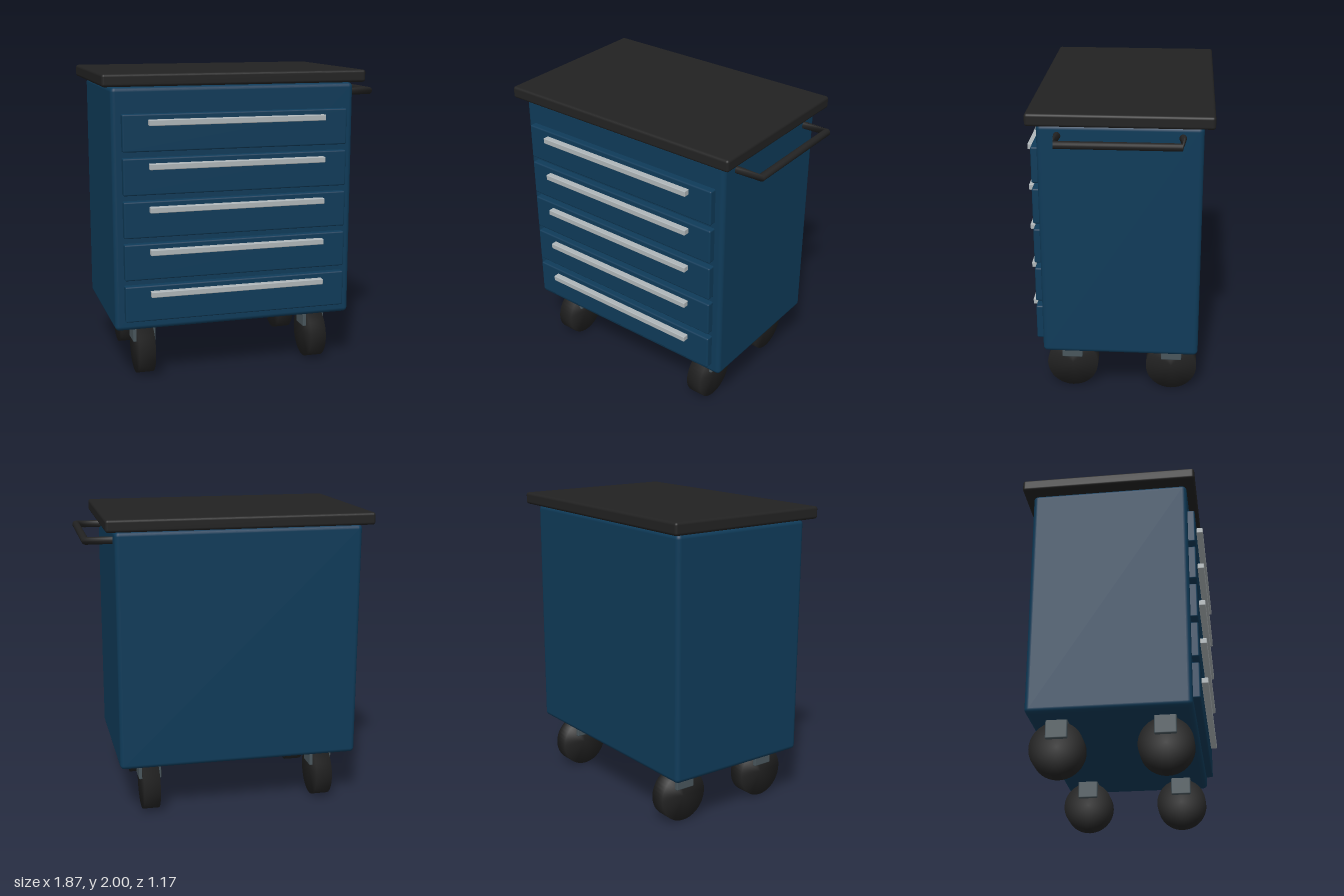
import * as THREE from 'three';
import { mergeVertices } from 'three/addons/utils/BufferGeometryUtils.js';
import { RoundedBoxGeometry } from 'three/addons/geometries/RoundedBoxGeometry.js';

const material = (name, color) => {
  const m = new THREE.MeshStandardMaterial({ color });
  m.name = name;
  return m;
};

// Cylinder lying along x, shaded softly over its rims
function wheelGeometry(radius, width) {
  const g = new THREE.CylinderGeometry(radius, radius, width, 40);
  g.rotateZ(Math.PI / 2);
  g.deleteAttribute('normal');
  g.deleteAttribute('uv');
  const soft = mergeVertices(g, 1e-4);
  soft.computeVertexNormals();
  return soft;
}

// U-shaped bar: rings at each arm end and at each corner
function pushBarGeometry(xIn, xOut, y, zFront, zBack, radius) {
  const sides = 16;
  const rings = [
    { x: xIn, z: zFront, out: [0, 1] },
    { x: xOut, z: zFront, out: [1, 0] },
    { x: xOut, z: zBack, out: [1, 0] },
    { x: xIn, z: zBack, out: [0, -1] },
  ];
  const position = [];
  const index = [];
  rings.forEach(({ x, z, out }, r) => {
    for (let i = 0; i < sides; i++) {
      const a = (i / sides) * Math.PI * 2;
      const c = Math.cos(a) * radius;
      position.push(x + out[0] * c, y - Math.sin(a) * radius, z + out[1] * c);
      if (r === rings.length - 1) continue;
      const p = r * sides + i;
      const q = r * sides + ((i + 1) % sides);
      index.push(p, q, p + sides, q, q + sides, p + sides);
    }
  });
  const g = new THREE.BufferGeometry();
  g.setAttribute('position', new THREE.Float32BufferAttribute(position, 3));
  g.setIndex(index);
  g.computeVertexNormals();
  return g;
}

export function createModel() {
  const blue = material('cabinet blue', 0x0f3b59);
  const black = material('rubber black', 0x222222);
  const silver = material('handle silver', 0xafb6b9);
  const steel = material('bracket steel', 0x49565c);

  const model = new THREE.Group();
  model.name = 'toolCabinet';
  const add = (name, geometry, mat, x, y, z, parent = model) => {
    const mesh = new THREE.Mesh(geometry, mat);
    mesh.name = name;
    mesh.position.set(x, y, z);
    parent.add(mesh);
    return mesh;
  };
  const cx = -0.069; // cabinet centre line

  // Cabinet and worktop
  add('cabinetBody', new RoundedBoxGeometry(1.614, 1.57, 1.02, 3, 0.03), blue, cx, 1.13, -0.012);
  add('worktop', new RoundedBoxGeometry(1.738, 0.08, 1.142, 3, 0.018), black, cx, 1.96, -0.015);

  // Five drawers with bar handles
  const drawerGeometry = new RoundedBoxGeometry(1.492, 0.236, 0.075, 2, 0.01);
  const handleGeometry = new RoundedBoxGeometry(1.168, 0.038, 0.043, 2, 0.005);
  for (let i = 0; i < 5; i++) {
    const drawer = new THREE.Group();
    drawer.name = 'drawer' + (i + 1);
    drawer.position.y = 1.632 - i * 0.275;
    add('drawerFront', drawerGeometry, blue, cx, 0, 0.507, drawer);
    add('drawerHandle', handleGeometry, silver, cx, 0.066, 0.566, drawer);
    model.add(drawer);
  }

  // Push bar on the left side
  add('pushBar', pushBarGeometry(0.73, 0.907, 1.848, 0.368, -0.394, 0.024), black, 0, 0, 0);

  // Four casters
  const wheel = wheelGeometry(0.171, 0.11);
  const bracket = new RoundedBoxGeometry(0.152, 0.14, 0.138, 2, 0.008);
  for (const x of [cx - 0.597, cx + 0.597]) {
    for (const z of [0.322, -0.347]) {
      const caster = new THREE.Group();
      caster.name = 'caster';
      caster.position.set(x, 0, z);
      add('casterWheel', wheel, black, 0, 0.171, 0, caster);
      add('casterBracket', bracket, steel, 0, 0.297, 0, caster);
      model.add(caster);
    }
  }
  return model;
}
